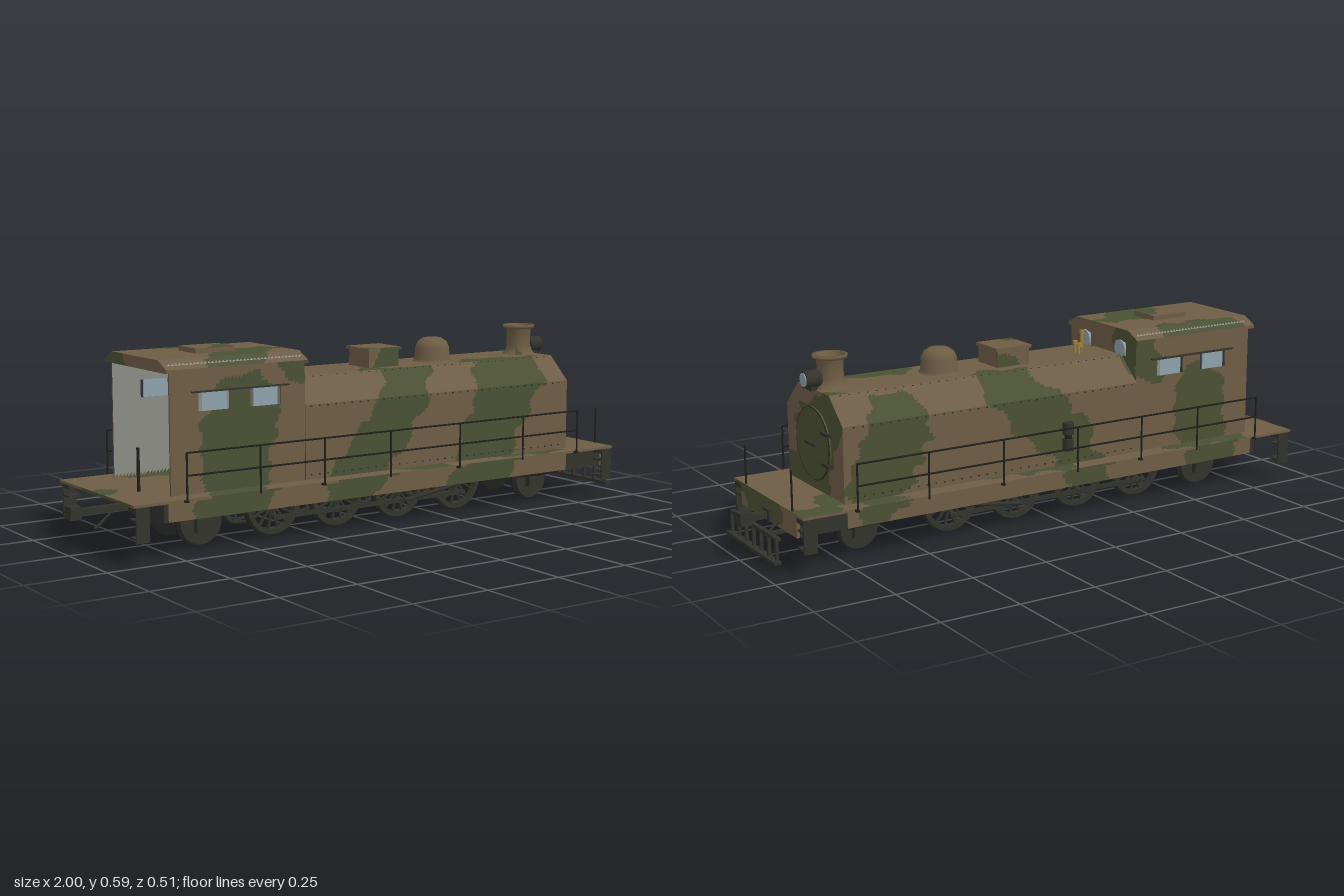
import * as THREE from 'three';

const mat = (name, color) => Object.assign(new THREE.MeshStandardMaterial({ color }), { name });
const V = (x, y, z) => new THREE.Vector3(x, y, z);

// Camouflage blobs: capsules [u0, v0, u1, v1, radius] for each facing
const CAMO = {
  left: [[-.52, .4, -.56, .1, .12], [-.36, .54, -.3, .52, .045], [.14, .5, .03, .34, .08], [.03, .34, -.15, .12, .09],
    [.55, .48, .45, .34, .11], [.45, .34, .36, .1, .115]],
  right: [[.55, .38, .63, .2, .1], [.15, .44, -.05, .25, .09], [-.55, .35, -.6, .1, .1], [-.33, .52, -.36, .45, .05], [-.05, .25, -.12, .1, .07]],
  top: [[-.68, -.2, -.47, -.17, .06], [-.58, .22, -.45, .06, .08], [-.4, .05, -.33, .03, .04], [0, -.18, .22, -.13, .06],
    [.03, .1, .16, .22, .06], [.45, .12, .65, .15, .08], [.62, -.2, .76, -.12, .06], [-.87, 0, -.87, .03, .03], [.87, -.22, .82, -.2, .05]],
  end: [[0, .33, 0, .33, .125], [.1, .17, -.03, .16, .08], [-.1, .42, -.13, .54, .055], [0, .39, -.13, .4, .06], [.14, .2, .05, .25, .07]],
};
function isGreen(p, n) {
  let list = CAMO.top, u = p.x, v = p.z;
  if (Math.abs(n.x) > .7) { list = CAMO.end; u = p.z; v = p.y; }
  else if (Math.abs(n.z) > .5) { list = n.z > 0 ? CAMO.left : CAMO.right; v = p.y; }
  const wobble = .012 * Math.sin(u * 47 + v * 20) + .008 * Math.sin(v * 83 - u * 31);
  return list.some(([a, b, c, d, r]) => {
    const dx = c - a, dy = d - b, len = dx * dx + dy * dy;
    const t = len ? Math.min(1, Math.max(0, ((u - a) * dx + (v - b) * dy) / len)) : 0;
    return Math.hypot(u - a - t * dx, v - b - t * dy) < r + wobble;
  });
}

export function createModel() {
  const root = new THREE.Group();
  root.name = 'locomotive';
  const brown = mat('brown', 0x6e5d45), green = mat('green', 0x4a5033), dark = mat('dark iron', 0x32332c),
    inside = mat('cab interior', 0x8b8c84), glass = mat('glass', 0x8fa2ab), brass = mat('brass', 0xa5853c), black = mat('black', 0x1f201c);

  const add = (name, geo, material, parent = root) => {
    const m = new THREE.Mesh(geo, material);
    m.name = name;
    parent.add(m);
    return m;
  };
  const boxGeo = (x0, x1, y0, y1, z0, z1, cell = 9) => {
    const s = [x1 - x0, y1 - y0, z1 - z0].map(Math.abs);
    return new THREE.BoxGeometry(...s, ...s.map(k => Math.ceil(k / cell))).translate((x0 + x1) / 2, (y0 + y1) / 2, (z0 + z1) / 2);
  };
  const box = (name, material, ...b) => add(name, boxGeo(...b), material);
  const rod = (name, material, a, b, r, sides = 8) => {
    const d = b.clone().sub(a);
    const m = add(name, new THREE.CylinderGeometry(r, r, d.length(), sides), material);
    m.position.copy(a).addScaledVector(d, .5);
    m.quaternion.setFromUnitVectors(V(0, 1, 0), d.normalize());
    return m;
  };

  // Sort triangles into brown, green and cab-interior groups
  function camo(name, geo) {
    const pos = geo.attributes.position, buckets = [[], [], []];
    const idx = geo.index ? geo.index.array : Array.from({ length: pos.count }, (_, i) => i);
    const tri = new THREE.Triangle(), p = V(), n = V();
    for (let i = 0; i < idx.length; i += 3) {
      const t = [idx[i], idx[i + 1], idx[i + 2]];
      tri.setFromAttributeAndIndices(pos, ...t);
      tri.getMidpoint(p);
      tri.getNormal(n);
      const inCab = p.x > -.757 && p.x < -.305 && Math.abs(p.z) < .178 && p.y > .185 && p.y < .56;
      buckets[inCab ? 2 : isGreen(p, n) ? 1 : 0].push(...t);
    }
    geo.setIndex(buckets.flat());
    geo.clearGroups();
    let start = 0;
    buckets.forEach((b, i) => { if (b.length) geo.addGroup(start, b.length, i); start += b.length; });
    return add(name, geo, [brown, green, inside]);
  }
  const camoBox = (name, ...b) => camo(name, boxGeo(...b, .012));

  // Grid mapped by a rule; u runs right and v up as seen from its front
  function grid(nu, nv, fn) {
    const g = new THREE.PlaneGeometry(1, 1, nu, nv), p = g.attributes.position;
    for (let i = 0; i < p.count; i++) p.setXYZ(i, ...fn(p.getX(i) + .5, p.getY(i) + .5));
    const flat = g.toNonIndexed();
    flat.computeVertexNormals();
    return flat;
  }
  // Half profile [z, y] mirrored and swept along x, with closed ends
  function hull(name, half, x0, x1) {
    const pts = [...half, ...half.map(([z, y]) => [-z, y]).reverse()], fine = [];
    pts.forEach((a, i) => {
      const b = pts[i + 1];
      if (!b) return fine.push(a);
      const n = Math.ceil(Math.hypot(b[0] - a[0], b[1] - a[1]) / .012);
      for (let k = 0; k < n; k++) fine.push([a[0] + (b[0] - a[0]) * k / n, a[1] + (b[1] - a[1]) * k / n]);
    });
    const nv = fine.length - 1;
    camo(name, grid(Math.ceil((x1 - x0) / .012), nv, (u, v) => {
      const [z, y] = fine[Math.round(v * nv)];
      return [x0 + u * (x1 - x0), y, z];
    }));
    const seg = half.length - 1, rows = 14 * seg;
    for (const s of [1, -1]) camo(name + 'End', grid(30, rows, (u, v) => {
      const i = Math.min(seg - 1, Math.floor(v * seg + 1e-6)), t = v * seg - i;
      const [a, b] = [half[i], half[i + 1]];
      return [s > 0 ? x1 : x0, a[1] + (b[1] - a[1]) * t, s * (a[0] + (b[0] - a[0]) * t) * (1 - 2 * u)];
    }));
  }

  // Deck, skirts and beams
  camoBox('deck', -.91, .905, .172, .18, -.243, .243);
  camoBox('frontBeam', .893, .903, .107, .172, -.195, .195);
  box('rearBeam', dark, -.79, -.775, .107, .172, -.195, .195);
  box('underFrame', dark, -.77, .893, .15, .17, -.19, .19);
  box('frontFrame', dark, .74, .893, .107, .172, -.193, .193);
  box('couplerPocket', dark, .9, .912, .11, .147, -.022, .022);
  for (const s of [-1, 1]) {
    camoBox('skirt', -.775, .74, .107, .172, s * .189, s * .195);
    box('innerFrame', dark, -.7, .74, .09, .15, s * .06, s * .07);
    for (const e of [-1, 1]) {
      box('stepHanger', dark, e * .86, e * .903, .068, .172, s * .237, s * .242);
      box('stepBracket', dark, e * .86, e * .903, .155, .172, s * .195, s * .24);
      for (const y of [.08, .133]) box('stepTread', dark, e * .86, e * .903, y - .003, y + .003, s * .2, s * .238);
    }
  }
  for (let x = -.65; x < .75; x += .23) box('crossBeam', dark, x - .01, x + .01, .12, .15, -.19, .19);

  // Boiler casing and cab
  hull('boilerCasing', [[.187, .18], [.187, .41], [.103, .487], [0, .487]], -.3, .745);
  hull('cabRoof', [[.195, .537], [.195, .547], [.145, .572], [0, .572]], -.775, -.295);
  box('cabCeiling', inside, -.77, -.3, .537, .54, -.19, .19);
  camoBox('roofHatch', -.6, -.465, .57, .587, -.052, .052);
  for (const s of [-1, 1]) {
    const side = (...b) => camoBox('cabSide', ...b, s * .177, s * .183);
    side(-.76, -.3, .18, .42);
    side(-.76, -.3, .475, .54);
    for (const [a, b] of [[-.76, -.665], [-.56, -.49], [-.385, -.3]]) side(a, b, .42, .475);
    for (const x of [-.6125, -.4375]) box('sideWindow', glass, x - .042, x + .042, .42, .475, s * .178, s * .182);
    box('rainStrip', dark, -.69, -.36, .476, .48, s * .183, s * .196);
    camoBox('cabFrontPier', -.306, -.3, .485, .53, s * .128, s * .177);
    rod('roundWindow', glass, V(-.303, .507, s * .098), V(-.295, .507, s * .098), .028, 24);
  }
  camoBox('cabFront', -.306, -.3, .18, .485, -.177, .177);
  camoBox('cabFront', -.306, -.3, .53, .54, -.177, .177);
  camoBox('cabFrontPier', -.306, -.3, .485, .53, -.068, .068);
  rod('brakeLever', black, V(-.8, .18, .06), V(-.8, .31, .06), .005);

  // Smokebox door with hinges and handle
  rod('smokeboxDoor', green, V(.74, .322, 0), V(.753, .322, 0), .11, 48);
  add('doorRim', new THREE.TorusGeometry(.11, .0015, 6, 48).rotateY(Math.PI / 2).translate(.752, .322, 0), black);
  box('doorHandle', dark, .753, .762, .318, .326, -.034, .034);
  for (const y of [.275, .37]) box('doorHinge', dark, .745, .76, y - .005, y + .005, -.118, -.07);

  // Chimney, dome, sandbox, headlight and whistles
  const lathe = (name, pts, x, y) => camo(name, new THREE.LatheGeometry(pts.map(([r, h]) => new THREE.Vector2(r, h)), 28).translate(x, y, 0));
  lathe('chimney', [[.055, 0], [.046, .012], [.04, .03], [.04, .085], [.053, .09], [.053, .1], [.04, .1], [.036, .06], [0, .06]], .688, .487);
  lathe('steamDome', [[.064, 0], [.058, .008], [.056, .045], [.048, .064], [.03, .076], [0, .08]], .318, .487);
  camoBox('sandbox', .024, .141, .486, .54, -.056, .056);
  camoBox('sandboxLid', .018, .147, .54, .549, -.062, .062);
  rod('headlight', dark, V(.725, .518, 0), V(.775, .518, 0), .026, 24);
  rod('headlightLens', glass, V(.774, .518, 0), V(.778, .518, 0), .021, 24);
  box('headlightBracket', dark, .725, .76, .485, .497, -.016, .016);
  for (const [x, z, h] of [[-.25, .05, .06], [-.19, 0, .04], [-.19, -.02, .035]]) {
    rod('whistle', brass, V(x, .485, z), V(x, .487 + h, z), .005);
    rod('whistleBell', brass, V(x, .475 + h, z), V(x, .487 + h, z), .008);
  }

  // Air pump and casing rivets
  for (const [y0, y1] of [[.23, .268], [.282, .32]]) rod('airPump', dark, V(-.03, y0, -.198), V(-.03, y1, -.198), .018, 16);
  rod('airPumpCore', black, V(-.03, .235, -.198), V(-.03, .315, -.198), .012, 12);
  const rivet = new THREE.BoxGeometry(.004, .004, .004);
  for (const s of [-1, 1]) for (let x = -.28; x < .74; x += .03)
    for (const [y, z] of [[.405, .188], [.483, .106], [.195, .188]]) add('rivet', rivet, dark).position.set(x, y, s * z);

  // Handrails and marker poles
  for (const s of [-1, 1]) {
    for (const y of [.316, .25]) rod('handrail', black, V(-.745, y, s * .253), V(.735, y, s * .253), .003, 6);
    for (const x of [-.745, -.5, -.275, -.03, .24, .5, .735]) rod('railPost', black, V(x, .172, s * .253), V(x, .316, s * .253), .003, 6);
    for (const x of [-.745, -.275, .24, .735]) box('postFoot', black, x - .005, x + .005, .172, .178, s * .24, s * .256);
    rod('markerPole', black, V(.9, .18, s * .163), V(.9, .3, s * .163), .003, 6);
  }

  // Driving wheels: rim, flange, hub, spokes and counterweight
  const ring = (ro, ri, depth) => {
    const sh = new THREE.Shape().absarc(0, 0, ro, 0, Math.PI * 2);
    sh.holes.push(new THREE.Path().absarc(0, 0, ri, 0, Math.PI * 2, true));
    return new THREE.ExtrudeGeometry(sh, { depth, bevelEnabled: false, curveSegments: 20 });
  };
  const disc = (r, h) => new THREE.CylinderGeometry(r, r, h, 28).rotateX(Math.PI / 2);
  const driver = new THREE.Group();
  driver.name = 'drivingWheel';
  add('tyre', ring(.092, .076, .02), dark, driver);
  add('flange', ring(.097, .08, .005), black, driver);
  add('hub', disc(.02, .026), dark, driver).position.z = .012;
  add('crankPin', disc(.008, .05), dark, driver).position.set(0, -.035, .025);
  for (let i = 0; i < 14; i++) {
    const a = i / 14 * Math.PI * 2;
    const sp = add('spoke', new THREE.BoxGeometry(.062, .006, .008), dark, driver);
    sp.position.set(Math.cos(a) * .048, Math.sin(a) * .048, .012);
    sp.rotation.z = a;
  }
  const weight = new THREE.Shape().absarc(0, 0, .08, .9, 2.24);
  add('counterweight', new THREE.ExtrudeGeometry(weight, { depth: .012, bevelEnabled: false }).translate(0, 0, .006), dark, driver);
  const axles = [-.365, -.13, .106, .343];
  for (const s of [-1, 1]) {
    for (const x of axles) {
      const w = driver.clone();
      w.position.set(x, .099, s * .087);
      if (s < 0) w.rotation.y = Math.PI;
      root.add(w);
    }
    // Carrying wheels with axle boxes
    for (const [x, r] of [[-.62, .07], [.66, .062]]) {
      add('carryingWheel', disc(r, .022), dark).position.set(x, r + .008, s * .098);
      add('wheelFlange', disc(r + .006, .005), black).position.set(x, r + .008, s * .086);
      add('wheelHub', disc(.022, .016), black).position.set(x, r + .008, s * .112);
      box('axleBox', dark, x - .03, x + .03, .05, .105, s * .118, s * .138);
    }
    // Cylinders and running gear
    rod('steamCylinder', dark, V(.58, .133, s * .145), V(.725, .133, s * .145), .044, 24);
    box('couplingRod', dark, axles[0] - .015, axles[3] + .015, .057, .071, s * .125, s * .132);
    rod('mainRod', dark, V(.106, .064, s * .14), V(.46, .115, s * .14), .006);
    rod('pistonRod', dark, V(.44, .118, s * .14), V(.59, .128, s * .14), .005);
    box('crosshead', dark, .435, .475, .1, .13, s * .13, s * .152);
  }
  for (const x of axles) rod('axle', dark, V(x, .099, -.09), V(x, .099, .09), .012, 12);
  for (const [x, y] of [[-.62, .078], [.66, .07]]) rod('axle', dark, V(x, y, -.12), V(x, y, .12), .01, 12);

  // Couplers at both ends
  for (const e of [-1, 1]) {
    box('couplerShaft', dark, e * .775, e * .97, .118, .138, -.011, .011);
    box('couplerHead', dark, e * .965, e, .108, .148, -.02, .02);
    rod('uncouplingLever', dark, V(e * .9, .13, e * -.075), V(e * .95, .09, e * -.075), .004);
  }

  // Pilot grille at the front
  box('pilotBottom', dark, .945, .968, .03, .04, -.175, .175);
  box('pilotTop', dark, .94, .955, .097, .107, -.165, .165);
  for (const z of [-.16, -.107, -.053, 0, .053, .107, .16]) box('pilotBar', dark, .947, .957, .035, .102, z - .004, z + .004);
  for (const s of [-1, 1]) box('pilotArm', dark, .89, .95, .097, .107, s * .09, s * .105);

  return root;
}
